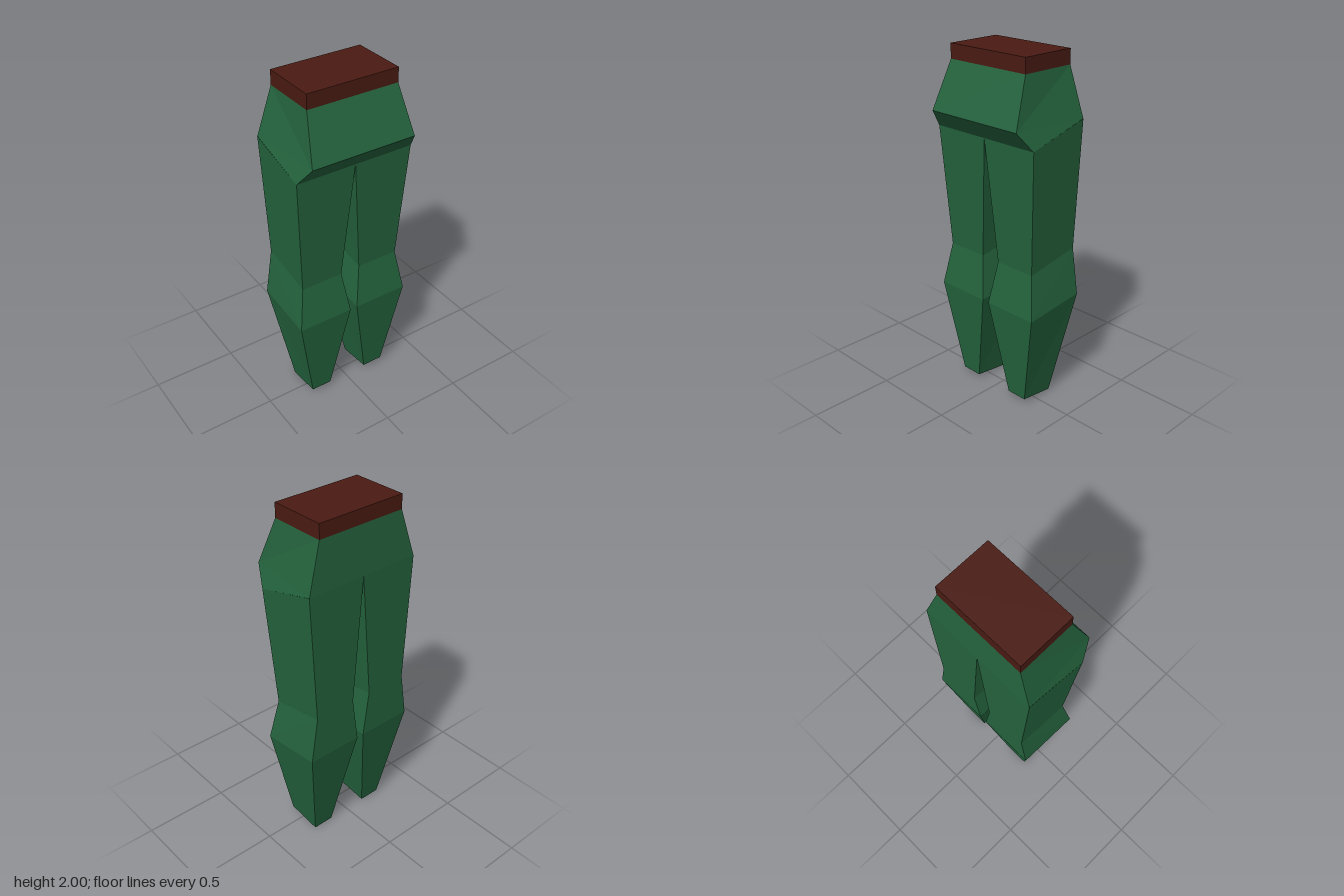
import * as THREE from 'three';

const cloth = new THREE.MeshStandardMaterial({ color: 0x24633d, flatShading: true, side: THREE.DoubleSide });
const leather = new THREE.MeshStandardMaterial({ color: 0x4a1b13, flatShading: true });

// Four-cornered ring between x0 and x1, with its own width, height and depth at front and back
function ring([x0, x1, yFront, zFront], [bx0, bx1, yBack, zBack]) {
  return [
    new THREE.Vector3(x1, yFront, zFront),
    new THREE.Vector3(bx1, yBack, zBack),
    new THREE.Vector3(bx0, yBack, zBack),
    new THREE.Vector3(x0, yFront, zFront),
  ];
}

// Skin rings from top to bottom, leaving out collapsed triangles
function loft(name, rings) {
  const points = [];
  const triangle = (a, b, c) => {
    if (new THREE.Triangle(a, b, c).getArea() > 1e-6) points.push(a, b, c);
  };
  for (let r = 0; r < rings.length - 1; r++) {
    const [top, low] = [rings[r], rings[r + 1]];
    for (let i = 0; i < 4; i++) {
      const j = (i + 1) % 4;
      if (i === 2) {
        // mirrored diagonal on the -x side
        triangle(top[i], low[i], low[j]);
        triangle(top[i], low[j], top[j]);
      } else {
        triangle(top[i], low[i], top[j]);
        triangle(low[i], low[j], top[j]);
      }
    }
  }
  const geometry = new THREE.BufferGeometry().setFromPoints(points);
  geometry.computeVertexNormals();
  const mesh = new THREE.Mesh(geometry, cloth);
  mesh.name = name;
  return mesh;
}

export function createModel() {
  const model = new THREE.Group();
  model.name = 'trousers';

  // Waistband
  const belt = new THREE.Mesh(new THREE.BoxGeometry(0.54, 0.083, 0.332), leather);
  belt.name = 'belt';
  belt.position.set(0, 1.9585, -0.043);
  model.add(belt);

  // Hips, with the front bulging over the thighs
  const hipBack = [-0.352, 0.352, 1.645, -0.229];
  model.add(loft('hips', [
    ring([-0.27, 0.27, 1.917, 0.123], [-0.27, 0.27, 1.917, -0.209]),
    ring([-0.31, 0.31, 1.65, 0.227], hipBack),
    ring([-0.353, 0.353, 1.545, 0.146], hipBack),
  ]));

  // Legs, open at the ankles: inner x, outer x, front y, front z, back y, back z
  const sections = [
    [0, 0.353, 1.545, 0.146, 1.645, -0.229],
    [0.06, 0.312, 0.84, 0.105, 0.9, -0.229],
    [0.022, 0.353, 0.59, 0.146, 0.63, -0.229],
    [0.125, 0.25, 0.025, 0.085, 0, -0.122],
  ];
  for (const side of [1, -1]) {
    const rings = sections.map(([inner, outer, yf, zf, yb, zb]) => {
      const [x0, x1] = side > 0 ? [inner, outer] : [-outer, -inner];
      return ring([x0, x1, yf, zf], [x0, x1, yb, zb]);
    });
    model.add(loft(side > 0 ? 'leftLeg' : 'rightLeg', rings));
  }
  return model;
}
